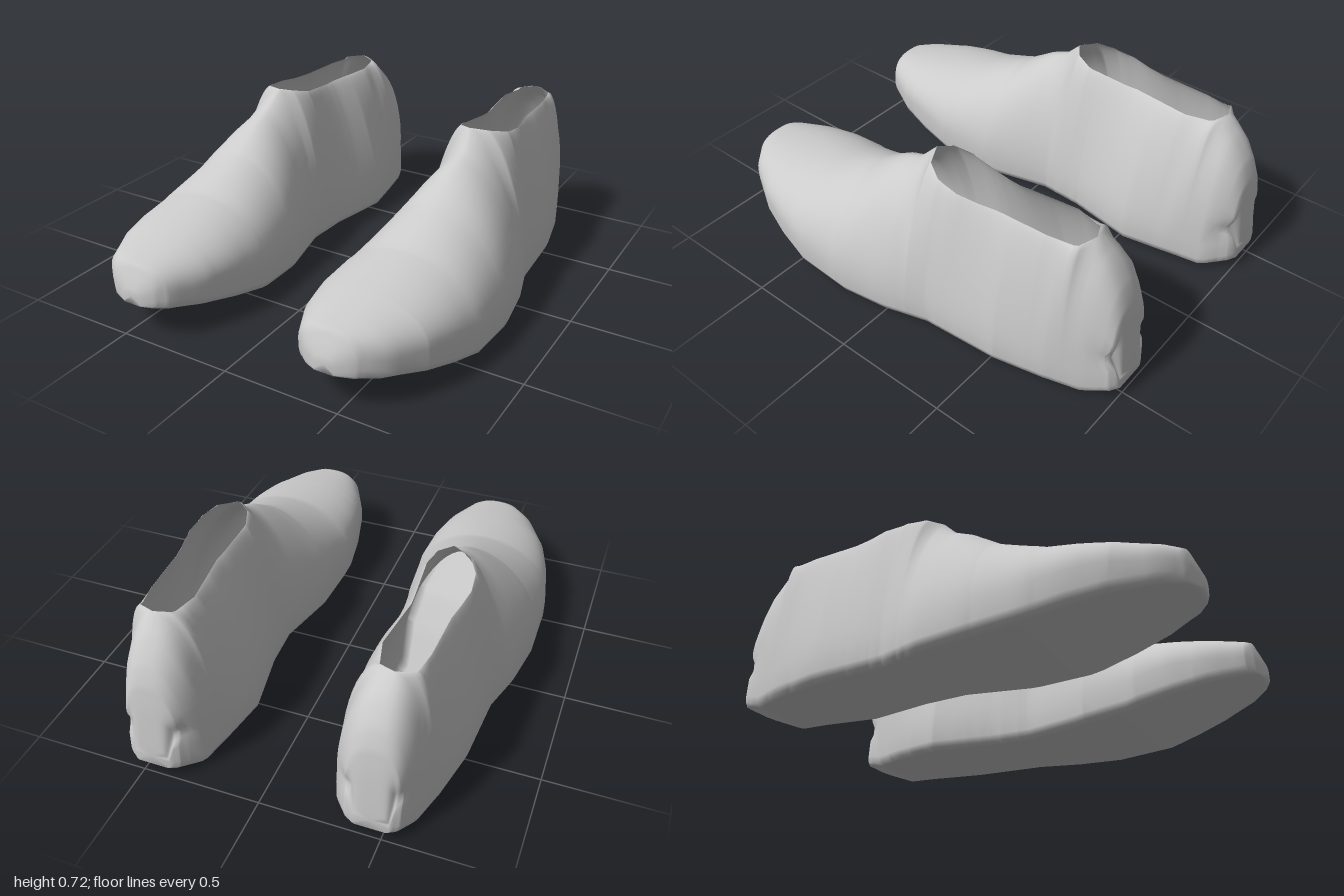
import * as THREE from 'three';
import { mergeVertices } from 'three/addons/utils/BufferGeometryUtils.js';

// Profiles along the shoe as [z, value] pairs, heel to toe
const OUTER = [[-1, 0.53], [-0.975, 0.565], [-0.9, 0.6], [-0.73, 0.655], [-0.52, 0.70], [-0.19, 0.72], [0, 0.775],
  [0.2, 0.805], [0.45, 0.805], [0.6, 0.775], [0.74, 0.73], [0.9, 0.64], [0.97, 0.56], [1, 0.49]];
const INNER = [[-1, 0.38], [-0.98, 0.345], [-0.9, 0.285], [-0.73, 0.245], [-0.53, 0.21], [-0.24, 0.262], [-0.05, 0.27],
  [0.24, 0.2], [0.5, 0.178], [0.65, 0.195], [0.8, 0.23], [0.94, 0.30], [0.98, 0.35], [1, 0.40]];
const BOTTOM = [[-1, 0.05], [-0.87, 0.005], [-0.75, 0.012], [0.2, 0.013], [0.45, 0.033], [1, 0.16]];
const TOP = [[-1, 0.14], [-0.99, 0.3], [-0.97, 0.45], [-0.94, 0.53], [-0.9, 0.6], [-0.82, 0.686], [-0.77, 0.67],
  [-0.37, 0.672], [-0.2, 0.69], [-0.07, 0.725], [0, 0.655], [0.1, 0.61], [0.25, 0.512], [0.48, 0.418],
  [0.75, 0.367], [0.96, 0.322], [1, 0.23]];
// Edges of the collar opening; they meet on the centre line where the shoe is closed
const RIM_IN = [[-1, 0.455], [-0.82, 0.475], [-0.79, 0.41], [-0.67, 0.38], [-0.42, 0.41], [-0.18, 0.395],
  [-0.11, 0.42], [-0.07, 0.475], [0, 0.49], [0.45, 0.485], [1, 0.445]];
const RIM_OUT = [[-1, 0.455], [-0.82, 0.475], [-0.79, 0.545], [-0.67, 0.565], [-0.45, 0.575], [-0.28, 0.605],
  [-0.18, 0.595], [-0.11, 0.555], [-0.07, 0.475], [0, 0.49], [0.45, 0.485], [1, 0.445]];
// Fullness of the wall: high is boxy, low is a straight taper
const FULL = [[-1, 2.6], [-0.85, 2.2], [-0.7, 1.35], [-0.3, 1.25], [-0.07, 1.5], [0.2, 1.8], [0.5, 2], [0.8, 2.2], [1, 2.6]];

// Straight-line lookup in a profile
function at(table, z) {
  for (let i = 1; i < table.length; i++) {
    const [z0, v0] = table[i - 1], [z1, v1] = table[i];
    if (z <= z1) return v0 + (v1 - v0) * Math.max(0, (z - z0) / (z1 - z0));
  }
  return table[table.length - 1][1];
}

const WALL_STEPS = 12;

// One wall from the rim down to the sole edge
function wall(z, rim, wide) {
  const yb = at(BOTTOM, z), yt = at(TOP, z), n = at(FULL, z), h = yt - yb;
  const y0 = yb + Math.min(0.12, 0.4 * h), edge = Math.min(0.04, 0.25 * h);
  const pts = [];
  for (let k = 0; k <= WALL_STEPS; k++) {
    const v = Math.cos((k / WALL_STEPS) * Math.PI / 2);
    const f = Math.pow(Math.max(0, 1 - Math.pow(v, n)), 1 / n);
    pts.push([rim + (wide - rim) * f, y0 + (yt - y0) * v]);
  }
  const mid = (at(INNER, z) + at(OUTER, z)) / 2;
  pts.push([wide, yb + edge], [mid + (wide - mid) * 0.96, yb + edge * 0.3], [mid + (wide - mid) * 0.86, yb]);
  return pts;
}

// Open cross-section: inner rim, down, across the sole, up to the outer rim
function section(z) {
  const inner = wall(z, at(RIM_IN, z), at(INNER, z));
  const outer = wall(z, at(RIM_OUT, z), at(OUTER, z)).reverse();
  const mid = [(at(INNER, z) + at(OUTER, z)) / 2, at(BOTTOM, z)];
  return [...inner, mid, ...outer];
}

function shoeGeometry(side) {
  // Stations: every profile knot plus an even spacing
  const zs = new Set();
  [OUTER, INNER, BOTTOM, TOP, RIM_IN, RIM_OUT].forEach((t) => t.forEach(([z]) => zs.add(z)));
  for (let i = 0; i <= 40; i++) zs.add(Math.round((-1 + i / 20) * 1000) / 1000);
  const stations = [...zs].sort((a, b) => b - a);
  const rows = stations.map((z) => section(z).map(([x, y]) => [x, y, z]));

  // Close the toe and heel by shrinking the end sections to a point
  const close = (row) => {
    const z = row[0][2];
    const cx = (at(INNER, z) + at(OUTER, z)) / 2, cy = (at(BOTTOM, z) + at(TOP, z)) / 2;
    return row.map(() => [cx, cy, z]);
  };
  rows.unshift(close(rows[0]));
  rows.push(close(rows[rows.length - 1]));

  const pos = [], index = [], n = rows[0].length;
  rows.forEach((row) => row.forEach(([x, y, z]) => {
    // Shallow crease around the back of the heel
    const back = THREE.MathUtils.smoothstep(-z, 0.85, 1);
    const crease = 0.033 * back * Math.exp(-(((y - 0.215) / 0.04) ** 2));
    pos.push(x * side, y, z + crease);
  }));
  for (let i = 0; i < rows.length - 1; i++) {
    for (let j = 0; j < n - 1; j++) {
      const a = i * n + j, b = a + n, c = a + 1, d = b + 1;
      if (side > 0) index.push(a, b, c, c, b, d);
      else index.push(a, c, b, c, d, b);
    }
  }
  let geo = new THREE.BufferGeometry();
  geo.setAttribute('position', new THREE.Float32BufferAttribute(pos, 3));
  geo.setIndex(index);
  geo = mergeVertices(geo, 1e-4);
  geo.computeVertexNormals();
  return geo;
}

export function createModel() {
  const group = new THREE.Group();
  group.name = 'pairOfShoes';
  const material = new THREE.MeshStandardMaterial({ color: 0xcccccc, side: THREE.DoubleSide });
  for (const side of [1, -1]) {
    const shoe = new THREE.Mesh(shoeGeometry(side), material);
    shoe.name = side > 0 ? 'leftShoe' : 'rightShoe';
    group.add(shoe);
  }
  return group;
}
